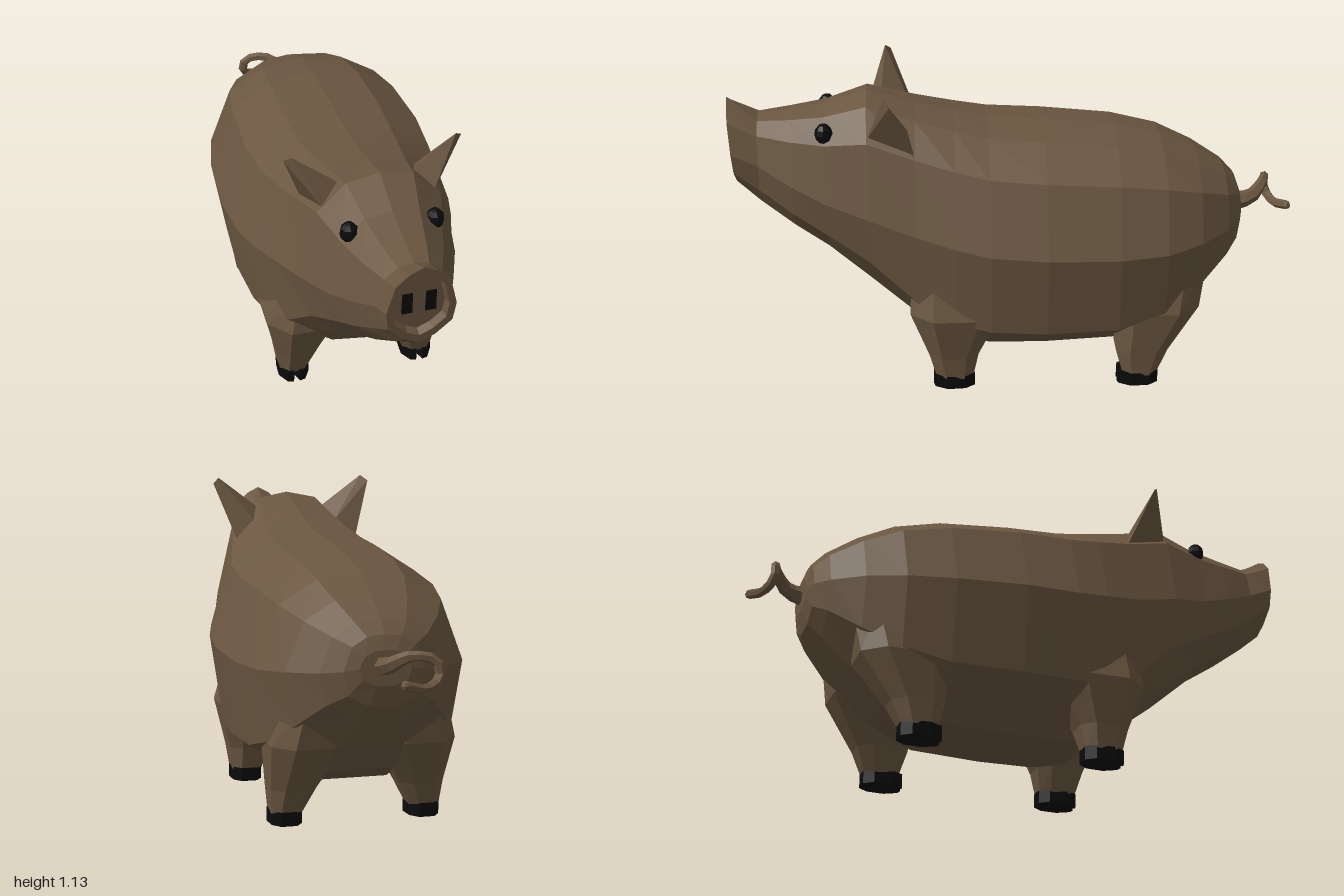
import * as THREE from 'three';
import { ConvexGeometry } from 'three/addons/geometries/ConvexGeometry.js';

const skin = new THREE.MeshStandardMaterial({ color: 0x6b5741, flatShading: true });
const black = new THREE.MeshStandardMaterial({ color: 0x0a0a0a, flatShading: true });
const V = (x, y, z) => new THREE.Vector3(x, y, z);

// Skin a row of equal-sized rings (counter-clockwise seen from the last ring) and cap both ends
function loft(rings) {
  const pos = [];
  const tri = (...p) => p.forEach(v => pos.push(v.x, v.y, v.z));
  const centre = r => r.reduce((a, v) => a.add(v), V(0, 0, 0)).divideScalar(r.length);
  const n = rings[0].length, last = rings[rings.length - 1];
  const c0 = centre(rings[0]), c1 = centre(last);
  for (let j = 0; j < n; j++) {
    const k = (j + 1) % n;
    for (let i = 0; i + 1 < rings.length; i++) {
      const a = rings[i], b = rings[i + 1];
      tri(a[j], a[k], b[k]);
      tri(a[j], b[k], b[j]);
    }
    tri(c0, rings[0][k], rings[0][j]);
    tri(c1, last[j], last[k]);
  }
  const g = new THREE.BufferGeometry();
  g.setAttribute('position', new THREE.Float32BufferAttribute(pos, 3));
  g.computeVertexNormals();
  return g;
}

// Half cross-sections: [width fraction, height fraction above (+) or below (-) the widest line]
const TRUNK = [[0, 1], [0.42, 0.94], [0.78, 0.68], [1, 0], [0.88, -0.68], [0.36, -1], [0, -1]];
const HEAD = [[0, 1], [0.42, 0.94], [0.78, 0.68], [1, 0], [0.86, -0.55], [0.46, -0.9], [0, -1]];
const SNOUT = [[0, 1], [0.4, 0.86], [0.77, 0.6], [1, -0.05], [0.92, -0.5], [0.46, -0.83], [0, -1]];

function bodyRing([z, top, mid, bottom, w]) {
  const section = z > 0.95 ? SNOUT : z > 0.4 ? HEAD : TRUNK;
  const point = (side, [u, v]) => {
    const y = mid + v * (v > 0 ? top - mid : mid - bottom);
    const tilt = z > 0.95 ? (y - 0.88) * 0.08 : 0;
    return V(side * u * w, y, z + tilt);
  };
  return [
    ...section.map(p => point(-1, p)),
    ...section.slice(1, -1).reverse().map(p => point(1, p)),
  ];
}

// Leg ring: cut-corner rectangle at height y
function legRing(side, [y, back, front, inner, outer]) {
  const cx = side * (inner + outer) / 2, cz = (back + front) / 2;
  const hx = (outer - inner) / 2, hz = (front - back) / 2, k = 0.5;
  return [[1, -k], [k, -1], [-k, -1], [-1, -k], [-1, k], [-k, 1], [k, 1], [1, k]]
    .map(([u, v]) => V(cx + u * hx, y, cz + v * hz));
}

// Cloven hoof outline, extruded upwards
function hoofGeometry() {
  const s = new THREE.Shape();
  [[0.054, -0.035], [0.058, 0.03], [0.033, 0.075], [0.012, 0.08], [0, 0.045], [-0.012, 0.08],
    [-0.033, 0.075], [-0.058, 0.03], [-0.054, -0.035], [-0.028, -0.07], [0.028, -0.07]]
    .forEach(([x, z], i) => (i ? s.lineTo(x, -z) : s.moveTo(x, -z)));
  s.closePath();
  return new THREE.ExtrudeGeometry(s, { depth: 0.05, bevelEnabled: false }).rotateX(-Math.PI / 2);
}

export function createModel() {
  const model = new THREE.Group();
  const pig = new THREE.Group();
  pig.name = 'pig';
  model.add(pig);
  const add = (name, geometry, material = skin, x = 0, y = 0, z = 0) => {
    const m = new THREE.Mesh(geometry, material);
    m.name = name;
    m.position.set(x, y, z);
    pig.add(m);
    return m;
  };

  // Body, head and hollow snout disc: z, top, widest line, bottom, half width
  add('body', loft([
    [-0.828, 0.66, 0.60, 0.54, 0.09],
    [-0.81, 0.71, 0.59, 0.47, 0.14],
    [-0.765, 0.755, 0.58, 0.42, 0.21],
    [-0.66, 0.82, 0.57, 0.30, 0.30],
    [-0.53, 0.88, 0.56, 0.19, 0.37],
    [-0.36, 0.92, 0.56, 0.12, 0.405],
    [-0.10, 0.945, 0.57, 0.11, 0.42],
    [0.10, 0.96, 0.58, 0.11, 0.40],
    [0.22, 0.985, 0.60, 0.13, 0.37],
    [0.36, 1.02, 0.63, 0.22, 0.325],
    [0.53, 1.07, 0.68, 0.35, 0.28],
    [0.68, 1.02, 0.72, 0.48, 0.225],
    [0.80, 1.00, 0.77, 0.56, 0.18],
    [0.92, 0.985, 0.83, 0.65, 0.125],
    [1.015, 1.05, 0.88, 0.72, 0.118],
    [1.015, 1.02, 0.88, 0.752, 0.094],
    [0.985, 1.01, 0.88, 0.76, 0.088],
  ].map(bodyRing)));

  // Legs: y, back, front, inner, outer
  const legs = {
    front: [[0.04, 0.165, 0.30, 0.185, 0.295], [0.13, 0.145, 0.325, 0.145, 0.308],
      [0.30, 0.06, 0.39, 0.06, 0.345], [0.45, 0.08, 0.38, 0.08, 0.30]],
    rear: [[0.04, -0.51, -0.385, 0.195, 0.305], [0.13, -0.55, -0.36, 0.15, 0.312],
      [0.30, -0.66, -0.34, 0.06, 0.328], [0.48, -0.69, -0.36, 0.06, 0.28]],
  };
  const hoofSpots = { front: [0.24, 0.23], rear: [0.25, -0.445] };
  const hoof = hoofGeometry();

  for (const [side, label] of [[1, 'left'], [-1, 'right']]) {
    for (const [end, rows] of Object.entries(legs)) {
      const [x, z] = hoofSpots[end];
      add(`${label} ${end} leg`, loft(rows.map(r => legRing(side, r))));
      add(`${label} ${end} hoof`, hoof, black, side * x, 0, z);
    }
    // Ear: pointed wedge leaning outwards
    add(`${label} ear`, new ConvexGeometry([
      [0.235, 0.90, 0.36], [0.19, 0.95, 0.53], [0.12, 1.01, 0.48], [0.15, 0.96, 0.38],
      [0.285, 1.135, 0.465], [0.31, 1.115, 0.445],
    ].map(([x, y, z]) => V(side * x, y, z))));
    // Eye
    add(`${label} eye`, new THREE.SphereGeometry(0.036, 8, 6), black, side * 0.148, 0.96, 0.68)
      .scale.set(0.9, 1.08, 0.9);
    // Nostril slot
    add(`${label} nostril`, new THREE.BoxGeometry(0.035, 0.08, 0.012), black, side * 0.04, 0.88, 0.985);
  }

  // Curled tail, tapering to the tip
  const curve = new THREE.CatmullRomCurve3([[0.01, 0.60, -0.79], [0, 0.62, -0.88], [-0.056, 0.655, -0.93],
    [-0.133, 0.64, -0.95], [-0.143, 0.585, -0.955], [-0.093, 0.555, -0.98], [-0.01, 0.575, -1.015]]
    .map(p => V(...p)));
  const steps = 14, sides = 6;
  const tail = new THREE.TubeGeometry(curve, steps, 0.038, sides, false);
  const p = tail.attributes.position, v = V(0, 0, 0);
  for (let i = 0; i < p.count; i++) {
    const t = Math.floor(i / (sides + 1)) / steps;
    v.fromBufferAttribute(p, i).lerp(curve.getPointAt(t), Math.min(0.55, t * 1.4));
    p.setXYZ(i, v.x, v.y, v.z);
  }
  tail.computeVertexNormals();
  add('tail', tail);
  add('tail tip', new THREE.SphereGeometry(0.017, 6, 4), skin, -0.01, 0.575, -1.015);

  // The animal stands turned a little to its left
  pig.rotation.y = THREE.MathUtils.degToRad(16.5);
  pig.position.set(0.042, 0, -0.012);
  return model;
}
